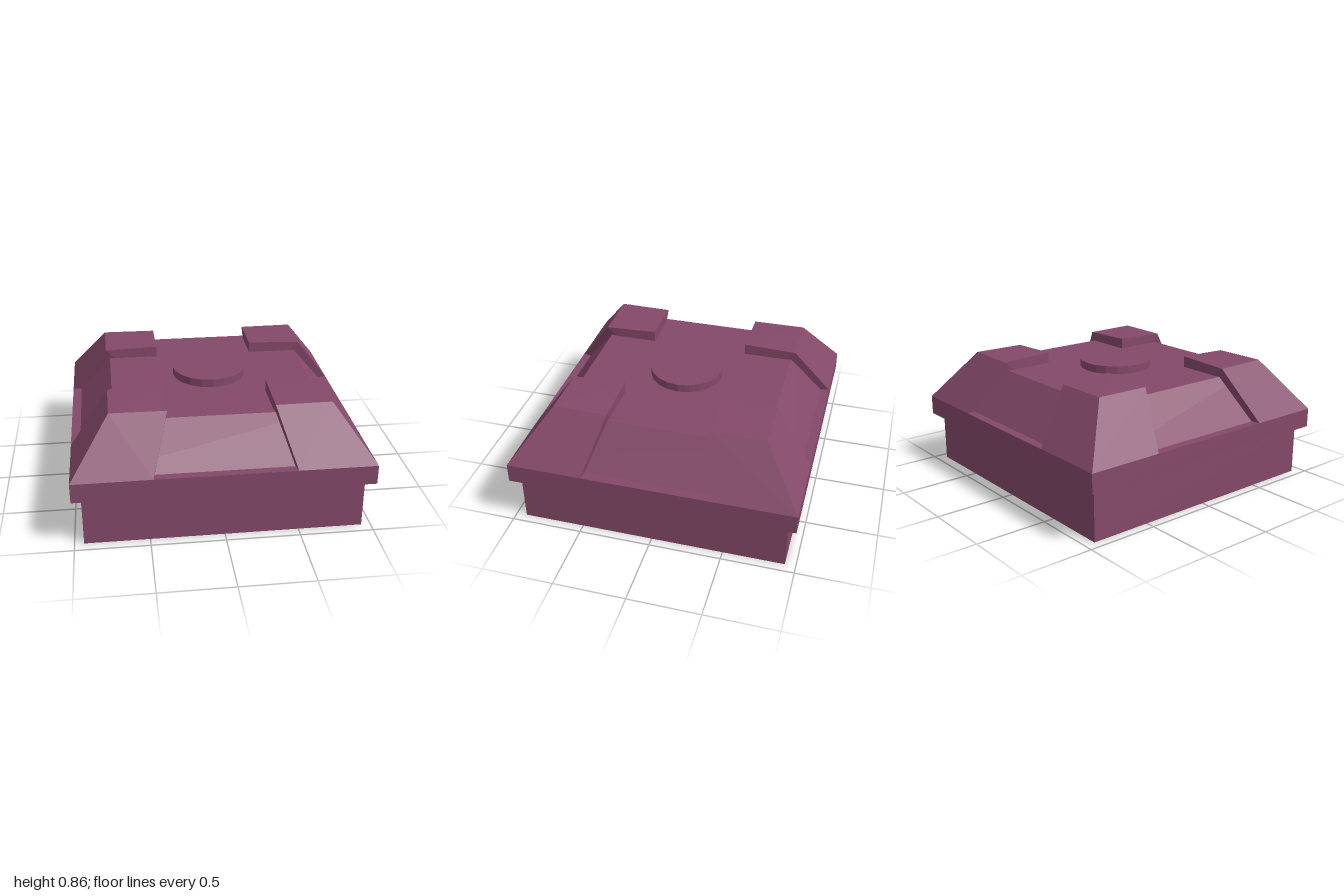
import * as THREE from 'three';

const material = new THREE.MeshStandardMaterial({ color: 0x85496a, flatShading: true });

function addMesh(group, name, geometry, y = 0) {
  const mesh = new THREE.Mesh(geometry, material);
  mesh.name = name;
  mesh.position.y = y;
  group.add(mesh);
  return mesh;
}

function addBox(group, name, width, depth, y0, y1) {
  return addMesh(group, name, new THREE.BoxGeometry(width, y1 - y0, depth), (y0 + y1) / 2);
}

// Box whose top face is narrowed to the given scale
function taperedBox(width, depth, height, topX, topZ) {
  const geometry = new THREE.BoxGeometry(width, height, depth);
  const p = geometry.attributes.position;
  for (let i = 0; i < p.count; i++) {
    if (p.getY(i) > 0) {
      p.setX(i, p.getX(i) * topX);
      p.setZ(i, p.getZ(i) * topZ);
    }
  }
  geometry.computeVertexNormals();
  return geometry;
}

// Corner block: a six-sided solid mirrored into the quadrant (sx, sz)
function cornerBlock(sx, sz) {
  // Each ring runs inner, front inner, outer, side inner
  const bottom = [[0.355, 0.49, 0.35], [0.47, 0.49, 0.988], [1, 0.49, 0.988], [1, 0.49, 0.465]];
  const top = [[0.355, 0.855, 0.35], [0.355, 0.842, 0.725], [0.735, 0.845, 0.725], [0.735, 0.842, 0.35]];
  const corners = [...bottom, ...top];
  const faces = [
    [4, 5, 6], [4, 6, 7], // top
    [0, 2, 1], [0, 3, 2], // underside
    [0, 1, 5], [0, 5, 4], // inner wall along z
    [1, 2, 6], [1, 6, 5], // front slope
    [2, 3, 7], [2, 7, 6], // side slope
    [3, 0, 7], [0, 4, 7], // inner wall along x
  ];
  const points = [];
  for (const face of faces) {
    const order = sx * sz > 0 ? face : [...face].reverse();
    for (const i of order) {
      const [x, y, z] = corners[i];
      points.push(new THREE.Vector3(x * sx, y, z * sz));
    }
  }
  const geometry = new THREE.BufferGeometry().setFromPoints(points);
  geometry.computeVertexNormals();
  return geometry;
}

export function createModel() {
  const group = new THREE.Group();
  group.name = 'platform';

  // Plinth and overhanging slab
  addBox(group, 'base', 1.874, 1.854, 0, 0.355);
  addBox(group, 'slab', 2, 1.976, 0.355, 0.49);

  // Sloped roof, set in slightly from the slab edge
  addMesh(group, 'roof', taperedBox(1.874, 1.854, 0.287, 0.753, 0.753), 0.49 + 0.287 / 2);

  // Low round cap in the middle of the roof
  addMesh(group, 'cap', new THREE.CylinderGeometry(0.257, 0.257, 0.063, 20), 0.8015);

  // Raised blocks at the four corners
  for (const sx of [1, -1]) {
    for (const sz of [1, -1]) {
      const name = (sz > 0 ? 'front' : 'back') + (sx > 0 ? 'Left' : 'Right') + 'Corner';
      addMesh(group, name, cornerBlock(sx, sz));
    }
  }
  return group;
}
